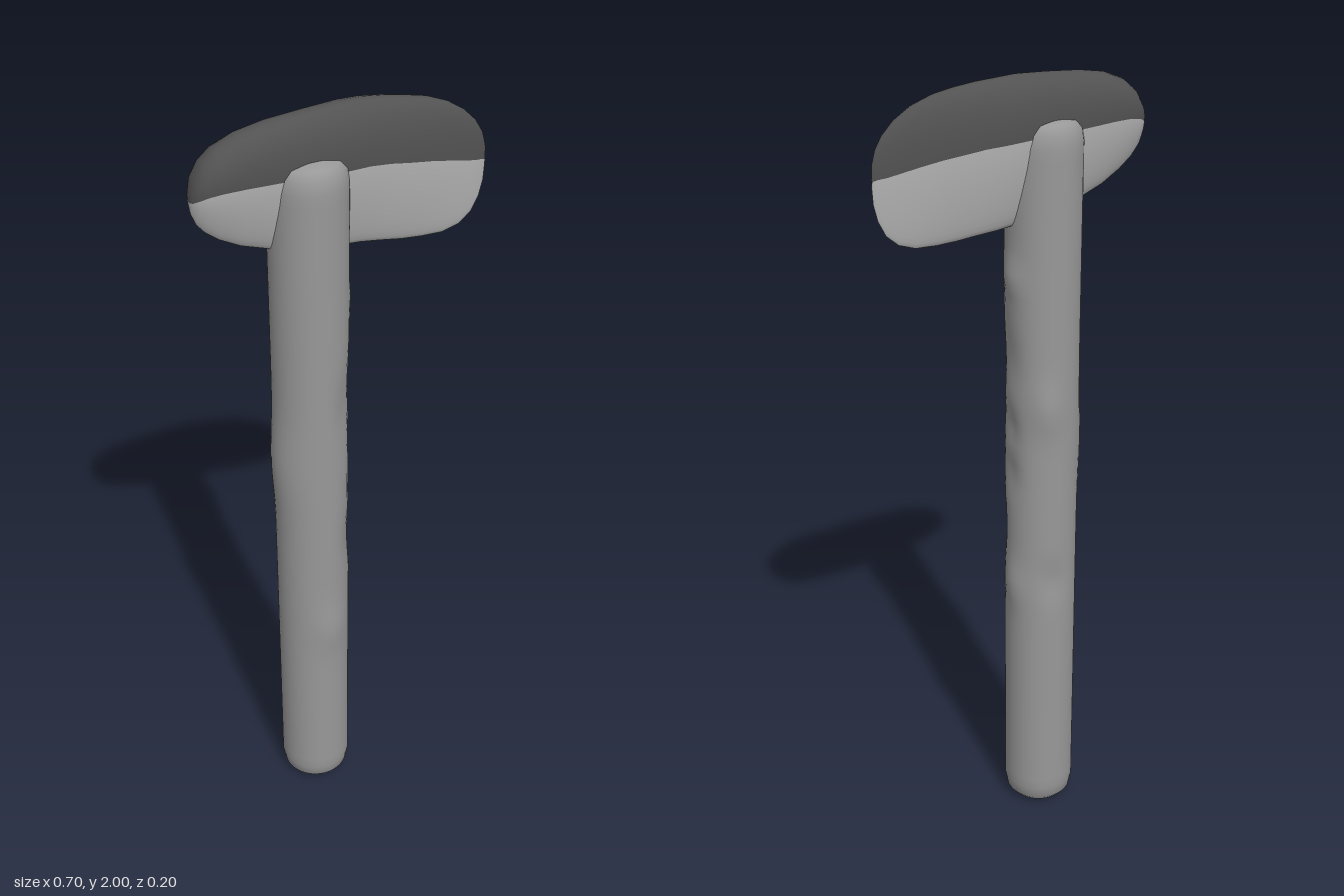
import * as THREE from 'three';
import { mergeVertices } from 'three/addons/utils/BufferGeometryUtils.js';

const wood = new THREE.MeshStandardMaterial({ color: 0x989898 });
const darkStone = new THREE.MeshStandardMaterial({ color: 0x525252 });
const paleStone = new THREE.MeshStandardMaterial({ color: 0xb4b4b4 });

// Worn spots on the handle: [height, angle (0 = front, PI/2 = left), height spread, angle spread, depth]
const WEAR = [
  [1.53, 1.6, 0.04, 0.4, 0.010],
  [1.32, 1.5, 0.08, 0.5, -0.008],
  [1.20, 2.7, 0.06, 0.4, 0.009],
  [1.10, -1.5, 0.12, 0.7, 0.010],
  [1.14, 1.5, 0.05, 0.4, -0.012],
  [1.02, 1.5, 0.05, 0.4, -0.010],
  [0.70, 1.7, 0.06, 0.4, 0.009],
  [0.72, 2.9, 0.05, 0.4, -0.008],
  [0.58, 0.1, 0.07, 0.5, 0.008],
  [1.25, 0.6, 0.09, 0.4, -0.008],
  [0.85, 0.9, 0.08, 0.4, -0.007],
];

// Round wooden shaft with softened ends and shallow wear
function createHandle() {
  const R = 0.092, H = 1.9;
  const profile = [[0, 0.004], [0.05, 0.004], [0.072, 0.01], [0.086, 0.026], [R, 0.06]];
  for (let i = 1; i < 60; i++) profile.push([R, 0.06 + (i / 60) * (H - 0.12)]);
  profile.push([R, H - 0.06], [0.088, H - 0.03], [0.075, H - 0.01], [0.05, H - 0.001], [0, H]);

  let geo = new THREE.LatheGeometry(profile.map(([r, y]) => new THREE.Vector2(r, y)), 40);
  const pos = geo.attributes.position;
  for (let i = 0; i < pos.count; i++) {
    const x = pos.getX(i), y = pos.getY(i), z = pos.getZ(i);
    const r = Math.hypot(x, z);
    if (r < 0.08) continue;
    const angle = Math.atan2(x, z);
    let push = 0;
    for (const [h, a, sh, sa, depth] of WEAR) {
      const da = Math.atan2(Math.sin(angle - a), Math.cos(angle - a));
      push += depth * Math.exp(-(((y - h) / sh) ** 2) - (da / sa) ** 2);
    }
    pos.setXYZ(i, x * (1 + push / r), y, z * (1 + push / r));
  }
  geo.deleteAttribute('uv');
  geo.deleteAttribute('normal');
  geo = mergeVertices(geo, 1e-5);
  geo.computeVertexNormals();
  const mesh = new THREE.Mesh(geo, wood);
  mesh.name = 'handle';
  mesh.position.x = -0.08;
  return mesh;
}

// Stone head stations along x: [x, top, bottom, back z, front z]
const STATIONS = [
  [-0.348, 1.868, 1.815, -0.025, 0.006],
  [-0.338, 1.902, 1.788, -0.040, 0.022],
  [-0.320, 1.932, 1.766, -0.048, 0.033],
  [-0.290, 1.957, 1.742, -0.053, 0.041],
  [-0.240, 1.977, 1.714, -0.057, 0.045],
  [-0.170, 1.989, 1.688, -0.058, 0.046],
  [-0.080, 1.996, 1.668, -0.056, 0.048],
  [0.000, 2.000, 1.655, -0.058, 0.053],
  [0.050, 1.998, 1.650, -0.054, 0.048],
  [0.100, 1.994, 1.645, -0.042, 0.050],
  [0.150, 1.987, 1.639, -0.033, 0.055],
  [0.200, 1.977, 1.636, -0.022, 0.056],
  [0.250, 1.958, 1.637, -0.007, 0.054],
  [0.290, 1.932, 1.650, 0.006, 0.051],
  [0.320, 1.902, 1.676, 0.016, 0.046],
  [0.338, 1.872, 1.712, 0.024, 0.041],
  [0.347, 1.840, 1.750, 0.030, 0.037],
];

// Teardrop sections: thick, dark and round on top, pale and thin along the lower edge
function createHead() {
  const SEG = 32, points = [], upper = [], lower = [];
  for (const [x, top, bottom, back, front] of STATIONS) {
    for (let j = 0; j < SEG; j++) {
      const a = (j / SEG) * Math.PI * 2;
      const c = Math.cos(a), s = Math.sin(a);
      const width = s * (0.92 + 0.4 * c);
      points.push(new THREE.Vector3(
        x,
        (top + bottom) / 2 + ((top - bottom) / 2) * c,
        (front + back) / 2 + ((front - back) / 2) * width
      ));
    }
  }
  // Closing points at both ends
  const first = points.push(new THREE.Vector3(-0.35, 1.842, -0.01)) - 1;
  const last = points.push(new THREE.Vector3(0.35, 1.795, 0.033)) - 1;

  const n = STATIONS.length;
  for (let j = 0; j < SEG; j++) {
    const k = (j + 1) % SEG;
    const faces = j < 7 || j >= SEG - 7 ? upper : lower;
    for (let i = 0; i < n - 1; i++) {
      const a = i * SEG + j, b = i * SEG + k, c = a + SEG, d = b + SEG;
      faces.push(a, b, c, b, d, c);
    }
    faces.push(first, k, j, last, (n - 1) * SEG + j, (n - 1) * SEG + k);
  }

  // Normals come from the whole surface, so the two tones meet smoothly
  const whole = new THREE.BufferGeometry().setFromPoints(points);
  whole.setIndex([...upper, ...lower]);
  whole.computeVertexNormals();
  const head = new THREE.Group();
  head.name = 'stoneHead';
  for (const [name, faces, material] of [
    ['upperStone', upper, darkStone],
    ['lowerStone', lower, paleStone],
  ]) {
    const geo = whole.clone();
    geo.setIndex(faces);
    const mesh = new THREE.Mesh(geo, material);
    mesh.name = name;
    head.add(mesh);
  }
  return head;
}

export function createModel() {
  const group = new THREE.Group();
  group.name = 'stoneAxe';
  group.add(createHandle(), createHead());
  return group;
}
